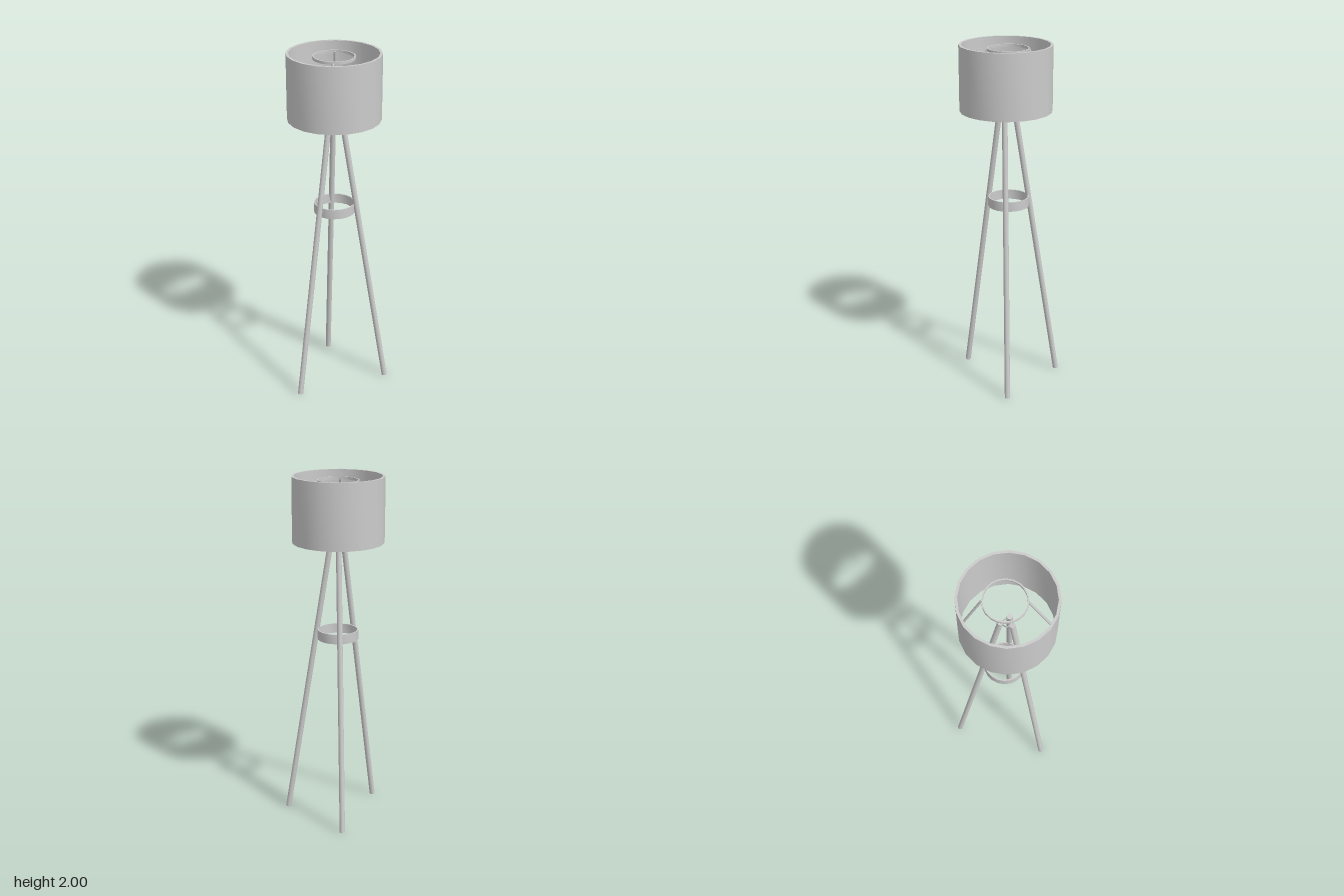
import * as THREE from 'three';
import { toCreasedNormals } from 'three/addons/utils/BufferGeometryUtils.js';

const material = new THREE.MeshStandardMaterial({ color: 0xcccccc });
const thinMaterial = new THREE.MeshStandardMaterial({ color: 0xcccccc, side: THREE.DoubleSide });

// 20-sided hoop with a rectangular wall section
function hoop(name, inner, outer, y0, y1, x, z) {
  const profile = [[inner, y0], [outer, y0], [outer, y1], [inner, y1], [inner, y0]]
    .map(([r, y]) => new THREE.Vector2(r, y));
  const geometry = toCreasedNormals(new THREE.LatheGeometry(profile, 20), 0.6);
  const mesh = new THREE.Mesh(geometry, material);
  mesh.name = name;
  mesh.position.set(x, 0, z);
  return mesh;
}

// Round rod between two points
function rod(name, from, to, radius, sides) {
  const a = new THREE.Vector3(...from);
  const b = new THREE.Vector3(...to);
  const axis = b.clone().sub(a);
  const mesh = new THREE.Mesh(new THREE.CylinderGeometry(radius, radius, axis.length(), sides), material);
  mesh.name = name;
  mesh.position.copy(a).add(b).multiplyScalar(0.5);
  mesh.quaternion.setFromUnitVectors(new THREE.Vector3(0, 1, 0), axis.normalize());
  return mesh;
}

export function createModel() {
  const lamp = new THREE.Group();
  lamp.name = 'tripodFloorLamp';

  // Open drum shade
  lamp.add(hoop('shade', 0.243, 0.257, 1.635, 2, -0.028, 0.027));

  // Ring inside the shade and the taller brace ring between the legs
  lamp.add(hoop('shadeRing', 0.109, 0.116, 1.965, 1.98, -0.029, 0.014));
  lamp.add(hoop('braceRing', 0.109, 0.116, 1.08, 1.135, -0.029, 0.014));

  // Struts sloping from the inner ring to the lower edge of the shade
  lamp.add(rod('frontStrut', [-0.03, 1.64, 0.27], [-0.03, 1.972, 0.127], 0.007, 12));
  lamp.add(rod('backStrut', [-0.03, 1.64, -0.217], [-0.03, 1.972, -0.099], 0.007, 12));

  // Splayed legs: foot x, z and top x, z
  const legs = {
    leftLeg: [0.271, 0.037, 0.002, 0.037],
    frontRightLeg: [-0.222, 0.257, -0.047, 0.052],
    backLeg: [-0.082, -0.274, -0.033, -0.01],
  };
  for (const [name, [fx, fz, tx, tz]] of Object.entries(legs)) {
    lamp.add(rod(name, [fx, 0.0025, fz], [tx, 1.71, tz], 0.0155, 20));
  }

  // Thin open collar where the legs meet
  const collar = new THREE.Mesh(new THREE.CylinderGeometry(0.021, 0.021, 0.02, 20, 1, true), thinMaterial);
  collar.name = 'collar';
  collar.position.set(-0.028, 1.695, 0.021);
  lamp.add(collar);

  return lamp;
}
